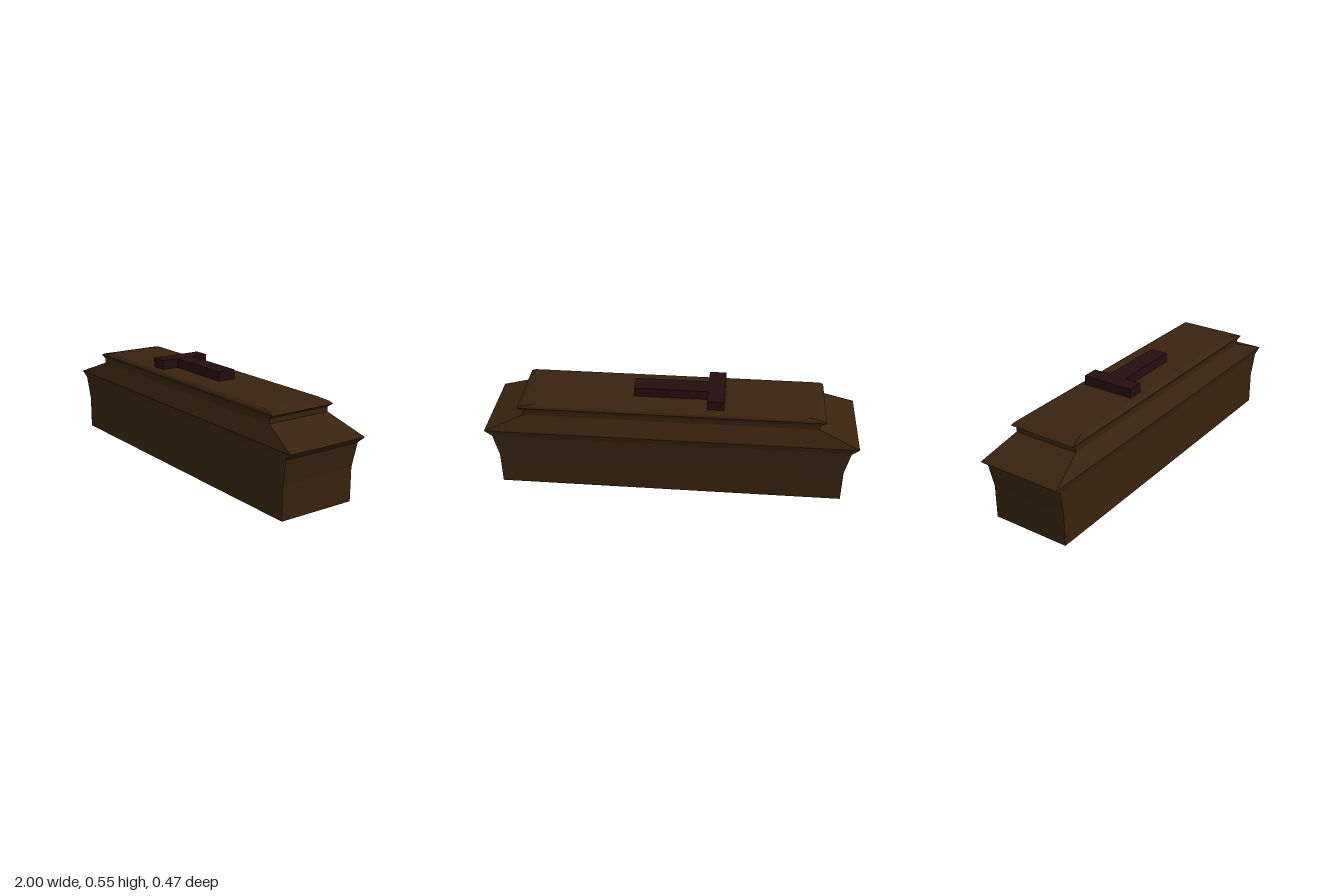
import * as THREE from 'three';

const wood = new THREE.MeshStandardMaterial({ color: 0x38230f, flatShading: true });
wood.name = 'dark brown wood';
const trim = new THREE.MeshStandardMaterial({ color: 0x260e10, flatShading: true });
trim.name = 'dark red wood';

// Closed stack of rectangular sections: [height, half length, half width]
function rectLoft(sections) {
  const rings = sections.map(([y, hx, hz]) => [
    [-hx, y, hz], [hx, y, hz], [hx, y, -hz], [-hx, y, -hz],
  ]);
  const pos = [];
  const quad = (a, b, c, d) => pos.push(...a, ...b, ...c, ...a, ...c, ...d);
  for (let i = 0; i < rings.length - 1; i++) {
    const lo = rings[i], hi = rings[i + 1];
    for (let k = 0; k < 4; k++) {
      const n = (k + 1) % 4;
      quad(lo[k], lo[n], hi[n], hi[k]);
    }
  }
  const b = rings[0], t = rings[rings.length - 1];
  quad(b[3], b[2], b[1], b[0]);
  quad(t[0], t[1], t[2], t[3]);
  const geo = new THREE.BufferGeometry();
  geo.setAttribute('position', new THREE.Float32BufferAttribute(pos, 3));
  geo.computeVertexNormals();
  return geo;
}

export function createModel() {
  const model = new THREE.Group();
  model.name = 'coffin';
  const add = (name, geo, mat) => {
    const mesh = new THREE.Mesh(geo, mat);
    mesh.name = name;
    model.add(mesh);
  };

  // Box with flared rim
  add('body', rectLoft([
    [0, 0.935, 0.218],
    [0.18, 0.935, 0.218],
    [0.312, 0.962, 0.225],
    [0.347, 1.0, 0.233],
  ]), wood);

  // Sloped lid with a neck and a moulded top slab
  add('lid', rectLoft([
    [0.347, 1.0, 0.233],
    [0.432, 0.787, 0.184],
    [0.458, 0.787, 0.184],
    [0.477, 0.818, 0.191],
    [0.488, 0.795, 0.186],
    [0.498, 0.725, 0.171],
  ]), wood);

  // T-shaped ornament on the lid
  const shape = new THREE.Shape([
    [-0.283, -0.147], [-0.192, -0.147], [-0.192, -0.051], [0.205, -0.051],
    [0.205, 0.051], [-0.192, 0.051], [-0.192, 0.147], [-0.283, 0.147],
  ].map(([x, y]) => new THREE.Vector2(x, y)));
  const ornament = new THREE.ExtrudeGeometry(shape, { depth: 0.054, bevelEnabled: false });
  ornament.rotateX(-Math.PI / 2).translate(0, 0.495, 0);
  add('lidOrnament', ornament, trim);

  return model;
}
